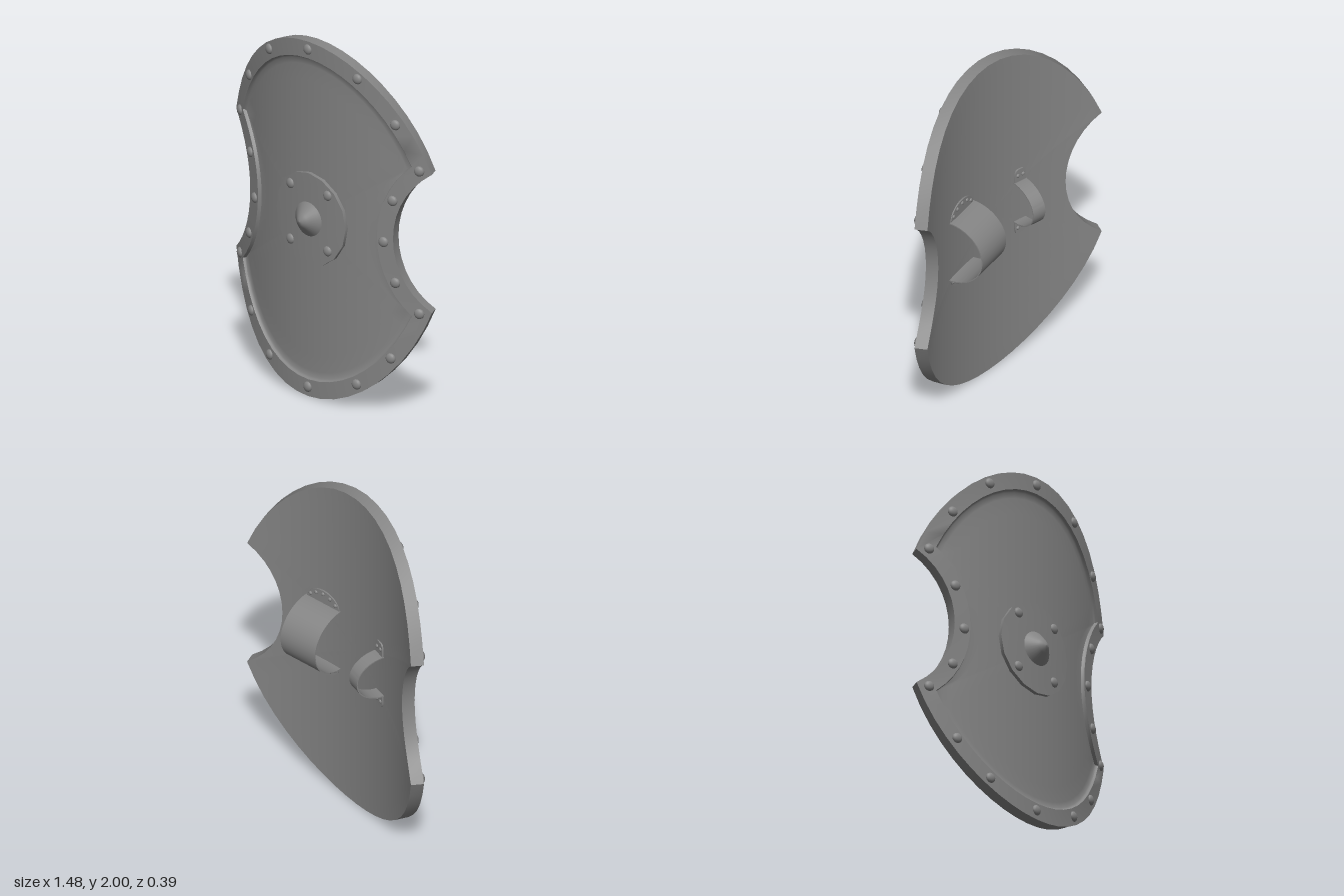
import * as THREE from 'three';
import { toCreasedNormals } from 'three/addons/utils/BufferGeometryUtils.js';

const material = new THREE.MeshStandardMaterial({ color: 0x858585, side: THREE.DoubleSide });
const R = 1.52; // bend radius of the front face
const FRONT = 0.125; // z of the front face on the centre line
const THICK = 0.07;

// Wrap a flat point (x, y) at depth d onto the curved face.
function bend(x, y, d) {
  const a = Math.asin(x / R);
  return new THREE.Vector3((R + d) * Math.sin(a), y + 1, (R + d) * Math.cos(a) + FRONT - R);
}

function mesh(name, geometry) {
  const m = new THREE.Mesh(geometry, material);
  m.name = name;
  return m;
}

// Seat an object on the curved face, turned along its normal.
function seat(object, x, y, d) {
  object.position.copy(bend(x, y, d));
  object.rotation.y = Math.asin(x / R);
  return object;
}

// Skin a series of closed loops, from the front centre round to the back.
// Each loop is { pts, s (scale), d (depth) }.
function skin(loops) {
  const rings = loops.map(({ pts, s, d }) => pts.map(([x, y]) => bend(x * s, y * s, d)));
  const out = [];
  const tri = (a, b, c) => {
    if (new THREE.Triangle(a, b, c).getArea() > 1e-9) for (const p of [a, b, c]) out.push(p.x, p.y, p.z);
  };
  for (let j = 0; j < rings.length - 1; j++) {
    const inner = rings[j], outer = rings[j + 1], n = inner.length;
    for (let i = 0; i < n; i++) {
      const k = (i + 1) % n;
      tri(inner[i], outer[i], outer[k]);
      tri(inner[i], outer[k], inner[k]);
    }
  }
  const g = new THREE.BufferGeometry();
  g.setAttribute('position', new THREE.Float32BufferAttribute(out, 3));
  return toCreasedNormals(g, 0.8);
}

// Oval with a round bite out of each side; (tx, ty) is the horn tip.
function outline(rx, ry, cx, r, tx, ty) {
  const t0 = Math.atan2(ty / ry, tx / rx), p0 = Math.asin(ty / r);
  const pts = [], N = 20, M = 14;
  for (const side of [1, -1]) {
    for (let i = 0; i < N; i++) {
      const t = t0 + (Math.PI - 2 * t0) * i / N;
      pts.push([side * rx * Math.cos(t), side * ry * Math.sin(t)]);
    }
    for (let i = 0; i < M; i++) {
      const p = p0 - 2 * p0 * i / M;
      pts.push([side * (r * Math.cos(p) - cx), side * r * Math.sin(p)]);
    }
  }
  return pts;
}

const steps = (n) => Array.from({ length: n + 1 }, (_, i) => i / n);

function rivet(radius, height) {
  const g = new THREE.SphereGeometry(radius, 14, 5, 0, Math.PI * 2, 0, Math.PI / 2);
  g.rotateX(Math.PI / 2);
  g.scale(1, 1, height / radius);
  return mesh('rivet', g);
}

// Arched band with a riveted foot at each end; a lower power makes the foot squarer.
function makeHandle(name, width, halfSpan, height, footLength, power, rivets) {
  const group = new THREE.Group();
  group.name = name;
  const t = 0.006;
  const arch = new THREE.Shape();
  arch.absellipse(0, 0, halfSpan, height, 0, Math.PI, false);
  arch.absellipse(0, 0, halfSpan - t, height - t, Math.PI, 0, true);
  const band = new THREE.ExtrudeGeometry(arch, { depth: width, bevelEnabled: false, curveSegments: 20 });
  band.translate(0, 0, -width / 2);
  band.applyMatrix4(new THREE.Matrix4().makeBasis(
    new THREE.Vector3(0, 1, 0), new THREE.Vector3(0, 0, -1), new THREE.Vector3(-1, 0, 0)));
  group.add(mesh('strap', toCreasedNormals(band, 0.6)));

  const rim = steps(16).map((f) => {
    const c = Math.cos(f * Math.PI), s = Math.sin(f * Math.PI);
    return new THREE.Vector2(
      width * 0.47 * Math.sign(c) * Math.abs(c) ** power, footLength * Math.abs(s) ** power);
  });
  for (const s of [1, -1]) {
    const foot = new THREE.Group();
    foot.name = 'foot';
    const plate = new THREE.ExtrudeGeometry(new THREE.Shape(rim), { depth: 0.015, bevelEnabled: false });
    plate.translate(0, 0, -0.009);
    foot.add(mesh('footPlate', toCreasedNormals(plate, 0.6)));
    for (const [x, y] of rivets) {
      const r = rivet(0.012, 0.009);
      r.rotation.y = Math.PI;
      r.position.set(x * width, y * footLength, -0.008);
      foot.add(r);
    }
    foot.position.y = s * (halfSpan - t);
    if (s < 0) foot.rotation.z = Math.PI;
    group.add(foot);
  }
  return group;
}

export function createModel() {
  const model = new THREE.Group();
  model.name = 'shield';

  // Body: recessed field with a soft fillet, raised rim, edge and back in one skin
  const outer = outline(0.803, 1, 1.02, 0.48, 0.74, 0.39);
  const inner = outline(0.722, 0.905, 1.009, 0.559, 0.64, 0.42);
  const loops = steps(10).map((s) => ({ pts: inner, s: s * 0.95, d: -0.02 }));
  loops.push({ pts: inner, s: 0.985, d: -0.018 }, { pts: inner, s: 0.995, d: -0.011 });
  loops.push({ pts: inner, s: 1, d: 0 }, { pts: outer, s: 1, d: 0 });
  for (const s of steps(12).reverse()) loops.push({ pts: outer, s, d: -THICK });
  model.add(mesh('body', skin(loops)));

  // Boss: curved round plate with a pointed centre
  const circle = Array.from({ length: 16 }, (_, i) => {
    const a = i / 16 * Math.PI * 2;
    return [0.26 * Math.cos(a), 0.26 * Math.sin(a)];
  });
  const plate = steps(5).map((s) => ({ pts: circle, s, d: 0.002 }));
  plate.push({ pts: circle, s: 1, d: -0.03 });
  model.add(mesh('bossPlate', skin(plate)));

  const profile = [[0.1, -0.002], [0.085, 0.01], [0.04, 0.049], [0.02, 0.064], [0, 0.069]];
  const spike = new THREE.LatheGeometry(profile.map(([r, h]) => new THREE.Vector2(r, h)), 28);
  spike.rotateX(Math.PI / 2);
  model.add(seat(mesh('bossSpike', spike), 0, 0, 0));

  // Rivets along the rim and on the boss plate
  const rimRivets = [[0.333, 0.865], [0.552, 0.645], [0.677, 0.402], [0.537, 0.215], [0.487, -0.025],
    [0.552, -0.245], [0.677, -0.402], [0.527, -0.675], [0.328, -0.858], [0.14, 0.165], [0.14, -0.148]];
  for (const [x, y] of rimRivets) {
    for (const s of [1, -1]) model.add(seat(rivet(0.029, 0.017), s * x, y, 0));
  }
  for (const y of [0.955, -0.947]) model.add(seat(rivet(0.029, 0.017), -0.004, y, 0));

  // Wide arm band and narrow hand grip on the back
  const wideRivets = [[-0.36, 0.35], [-0.2, 0.64], [0, 0.76], [0.2, 0.64], [0.36, 0.35]];
  const gripRivets = [[-0.22, 0.55], [0.22, 0.55]];
  model.add(seat(makeHandle('armBand', 0.245, 0.19, 0.208, 0.085, 1, wideRivets), 0.262, 0, -THICK));
  model.add(seat(makeHandle('handGrip', 0.082, 0.13, 0.165, 0.085, 0.5, gripRivets), -0.241, 0, -THICK));

  return model;
}
